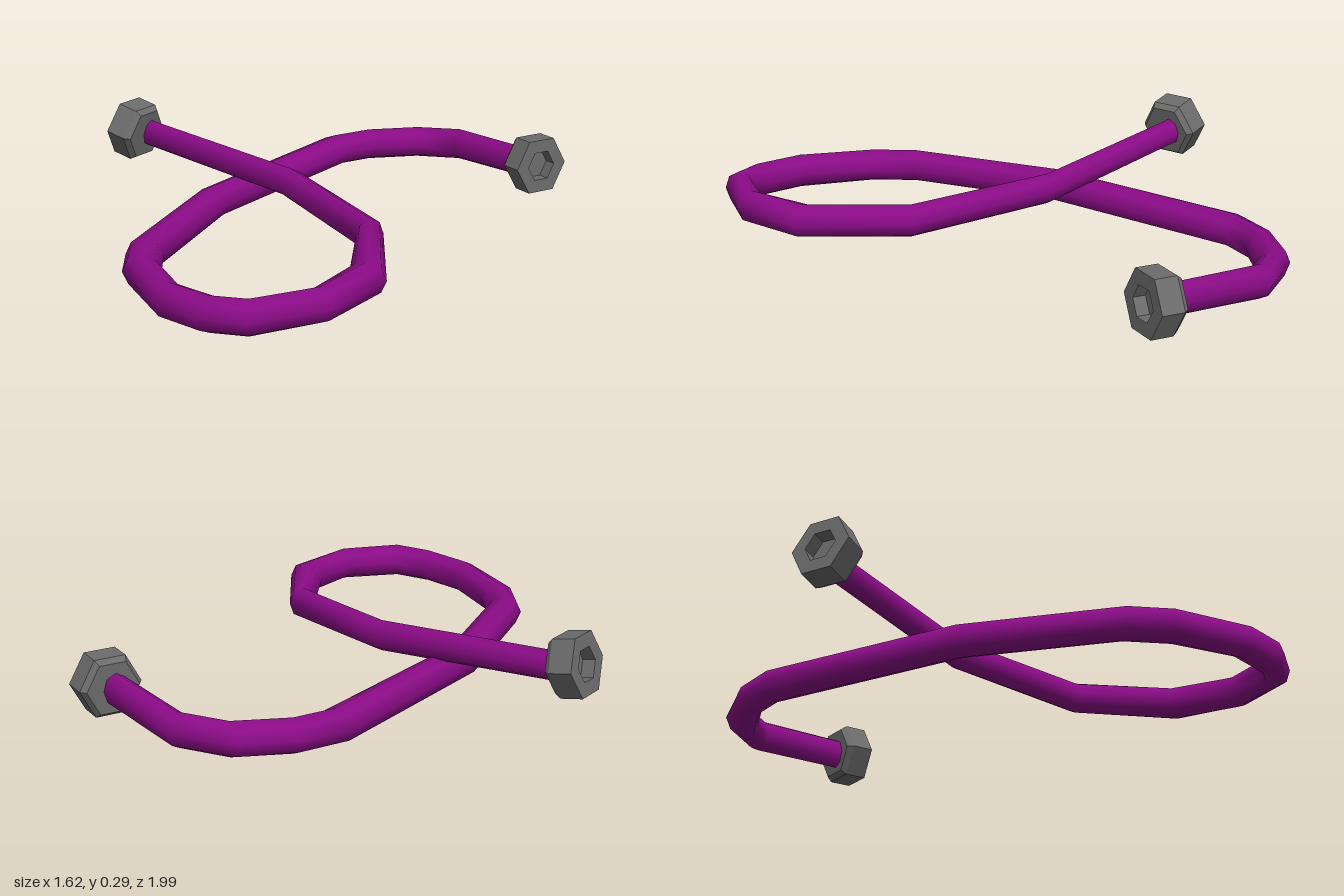
import * as THREE from 'three';

const purple = new THREE.MeshStandardMaterial({ color: 0x8c0c88 });
purple.name = 'hose purple';
const grey = new THREE.MeshStandardMaterial({ color: 0x6c6c6c, flatShading: true });
grey.name = 'fitting grey';

// Hose sections: outer edge x, z, inner edge x, z, centre height, half height
const sections = [
  [0.68, -0.76, 0.63, -0.69, 0.095, 0.055],
  [0.38, -0.985, 0.355, -0.9, 0.07, 0.058],
  [0.16, -1, 0.24, -0.905, 0.06, 0.058],
  [-0.01, -0.91, 0.065, -0.835, 0.058, 0.058],
  [-0.135, -0.775, -0.015, -0.75, 0.058, 0.058],
  [-0.375, -0.07, -0.26, -0.06, 0.058, 0.058],
  [-0.415, 0.495, -0.295, 0.46, 0.058, 0.058],
  [-0.365, 0.645, -0.245, 0.61, 0.06, 0.058],
  [-0.16, 0.885, -0.105, 0.795, 0.07, 0.06],
  [0, 0.97, 0.06, 0.88, 0.08, 0.06],
  [0.17, 0.985, 0.145, 0.89, 0.09, 0.06],
  [0.38, 0.83, 0.295, 0.775, 0.1, 0.058],
  [0.48, 0.58, 0.355, 0.565, 0.105, 0.057],
  [0.37, 0.205, 0.29, 0.25, 0.115, 0.056],
  [-0.02, -0.15, -0.085, -0.095, 0.138, 0.053],
  [-0.695, -0.44, -0.72, -0.375, 0.18, 0.05],
];

// Loft an eight-sided tube through the sections
function hoseGeometry(sides = 8) {
  const positions = [], index = [];
  sections.forEach(([ax, az, bx, bz, y, h], i) => {
    for (let j = 0; j < sides; j++) {
      const a = (j / sides) * Math.PI * 2;
      const c = Math.cos(a) / 2;
      positions.push((ax + bx) / 2 + (ax - bx) * c, y + h * Math.sin(a), (az + bz) / 2 + (az - bz) * c);
      if (i === sections.length - 1) continue;
      const k = (j + 1) % sides;
      const p = i * sides + j, q = i * sides + k;
      index.push(p, p + sides, q, q, p + sides, q + sides);
    }
  });
  const geometry = new THREE.BufferGeometry();
  geometry.setAttribute('position', new THREE.Float32BufferAttribute(positions, 3));
  geometry.setIndex(index);
  geometry.computeVertexNormals();
  return geometry;
}

function hexPoints(radius) {
  return Array.from({ length: 6 }, (_, i) => new THREE.Vector2(
    radius * Math.cos(i * Math.PI / 3), radius * Math.sin(i * Math.PI / 3)));
}

// Six-sided prism along z, with corners to the sides and a flat on top
function hexPrism(front, back, z0, z1) {
  return new THREE.CylinderGeometry(front, back, z1 - z0, 6)
    .rotateY(Math.PI / 6).rotateX(Math.PI / 2).translate(0, 0, (z0 + z1) / 2);
}

// Hex nut with a socket on its outer face and a chamfer on the hose side
function createNut(name, position, axis) {
  const nut = new THREE.Group();
  nut.name = name;
  const R = 0.106;
  const ring = new THREE.Shape(hexPoints(R));
  ring.holes.push(new THREE.Path(hexPoints(0.056)));
  const parts = {
    chamfer: hexPrism(R, 0.09, -0.05, -0.03),
    body: hexPrism(R, R, -0.03, 0.005),
    socket: new THREE.ExtrudeGeometry(ring, { depth: 0.045, bevelEnabled: false }).translate(0, 0, 0.005),
  };
  for (const [part, geometry] of Object.entries(parts)) {
    const mesh = new THREE.Mesh(geometry, grey);
    mesh.name = part;
    nut.add(mesh);
  }
  nut.scale.y = 1.05;
  nut.position.set(...position);
  nut.lookAt(new THREE.Vector3(...axis).add(nut.position));
  return nut;
}

export function createModel() {
  const model = new THREE.Group();
  model.name = 'hose with nuts';
  const hose = new THREE.Mesh(hoseGeometry(), purple);
  hose.name = 'hose';
  model.add(
    hose,
    createNut('leftNut', [0.695, 0.103, -0.7], [0.73, 0.04, 0.68]),
    createNut('rightNut', [-0.735, 0.188, -0.395], [-0.93, 0.18, -0.33]),
  );
  return model;
}
